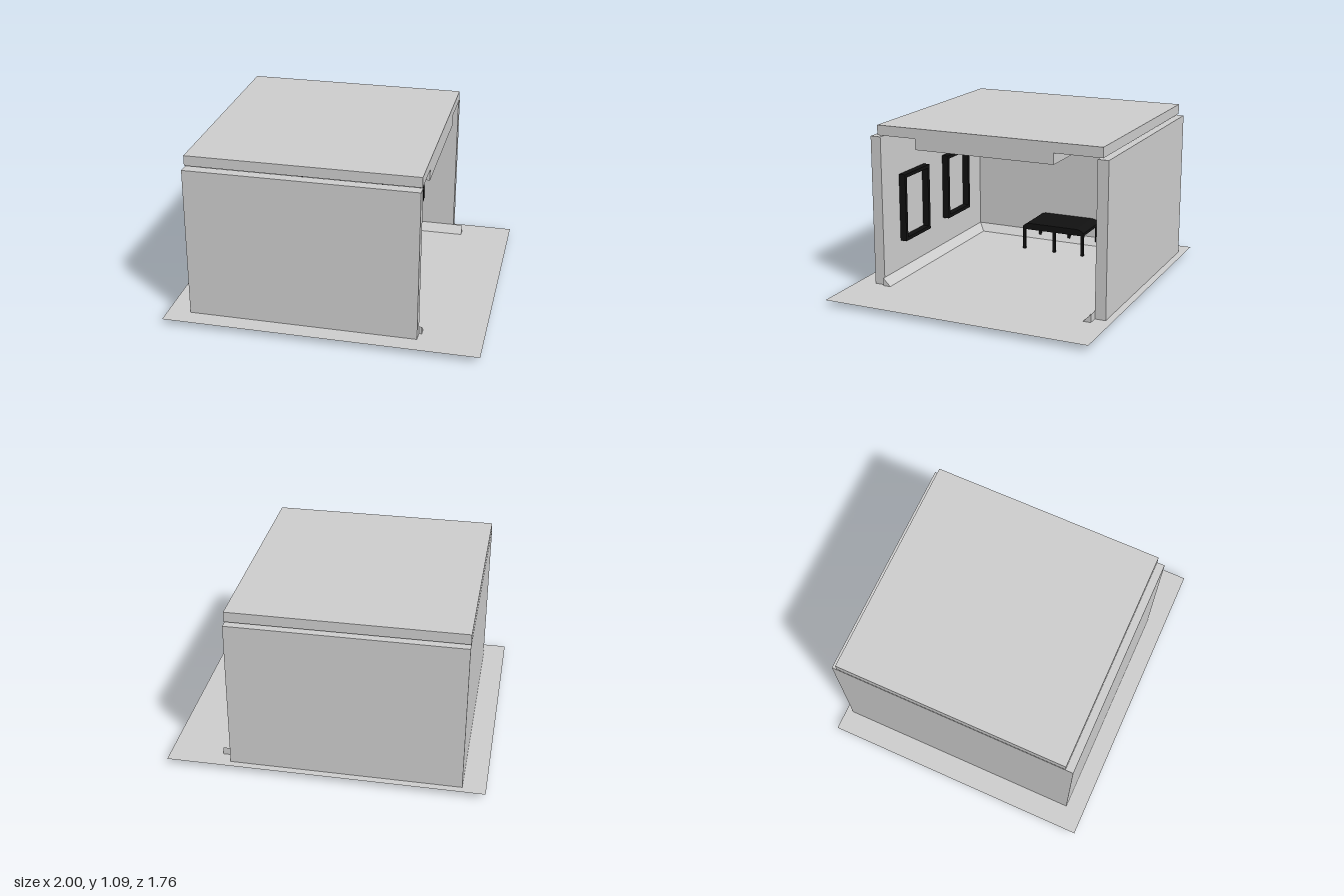
import * as THREE from 'three';

export function createModel() {
  const model = new THREE.Group();
  const grey = new THREE.MeshStandardMaterial({ color: 0xcccccc });
  grey.name = 'plain grey';
  const floorGrey = new THREE.MeshStandardMaterial({ color: 0xcccccc, side: THREE.DoubleSide });
  floorGrey.name = 'floor grey';
  const black = new THREE.MeshStandardMaterial({ color: 0x111111 });
  black.name = 'black';

  const add = (name, geometry, material, parent = model) => {
    const mesh = new THREE.Mesh(geometry, material);
    mesh.name = name;
    parent.add(mesh);
    return mesh;
  };
  // Box given by its extents on each axis
  const box = (name, [x0, x1], [y0, y1], [z0, z1], material = grey, parent = model) => {
    const mesh = add(name, new THREE.BoxGeometry(x1 - x0, y1 - y0, z1 - z0), material, parent);
    mesh.position.set((x0 + x1) / 2, (y0 + y1) / 2, (z0 + z1) / 2);
    return mesh;
  };

  const floorY = 0.035;
  const hallX = [-0.855, 0.6];

  // Ground sheet
  const floor = add('floor', new THREE.PlaneGeometry(2, 1.76), floorGrey);
  floor.rotation.x = -Math.PI / 2;
  floor.position.y = floorY;

  // Three walls, open towards +x
  box('frontWall', hallX, [0.02, 1.015], [0.69, 0.76]);
  box('backWall', hallX, [0, 1.015], [-0.835, -0.765]);
  box('endWall', [-0.855, -0.785], [0.025, 1.015], [-0.765, 0.69]);

  // Roof slab with a lowered ceiling panel
  box('roof', hallX, [1.025, 1.09], [-0.8, 0.71]);
  box('ceilingPanel', [-0.56, 0.6], [0.955, 1.025], [-0.49, 0.44]);

  // Triangular skirting: the profile's upright side lies against the wall
  const skirting = (name, length) => {
    const profile = new THREE.Shape([[0, 0], [0.05, 0], [0, 0.05]].map(p => new THREE.Vector2(...p)));
    return add(name, new THREE.ExtrudeGeometry(profile, { depth: length, bevelEnabled: false }), grey);
  };
  const backSkirting = skirting('backSkirting', 1.45);
  backSkirting.rotation.y = -Math.PI / 2;
  backSkirting.position.set(0.665, floorY, -0.765);
  const frontSkirting = skirting('frontSkirting', 1.403);
  frontSkirting.rotation.y = Math.PI / 2;
  frontSkirting.position.set(-0.785, floorY, 0.69);
  skirting('endSkirting', 1.455).position.set(-0.785, floorY, -0.765);

  // Window frames: two on each long wall
  const rect = (path, x0, y0, x1, y1) =>
    path.moveTo(x0, y0).lineTo(x1, y0).lineTo(x1, y1).lineTo(x0, y1).closePath();
  const frameShape = rect(new THREE.Shape(), -0.163, 0.275, 0.163, 0.725);
  frameShape.holes.push(rect(new THREE.Path(), -0.14, 0.298, 0.14, 0.702));
  const frameGeometry = new THREE.ExtrudeGeometry(frameShape, { depth: 0.045, bevelEnabled: false });
  for (const x of [-0.365, 0.223]) {
    add('backWindowFrame', frameGeometry, black).position.set(x, 0, -0.74);
    add('frontWindowFrame', frameGeometry, black).position.set(x, 0, 0.645);
  }

  // Bench by the end wall: round-shouldered top on three pairs of legs
  const bench = new THREE.Group();
  bench.name = 'bench';
  model.add(bench);
  const top = new THREE.Shape();
  top.moveTo(-0.2, 0.18).lineTo(0.26, 0.18).lineTo(0.26, 0.2)
    .quadraticCurveTo(0.24, 0.225, 0.2, 0.225).lineTo(-0.14, 0.225)
    .quadraticCurveTo(-0.18, 0.225, -0.2, 0.2).closePath();
  const seat = add('benchTop', new THREE.ExtrudeGeometry(top, { depth: 0.3, bevelEnabled: false }), black, bench);
  seat.rotation.y = Math.PI / 2;
  seat.position.x = -0.78;
  for (const z of [-0.25, -0.038, 0.19]) {
    for (const x of [-0.77, -0.49]) {
      box('benchLeg', [x - 0.01, x + 0.01], [floorY, 0.18], [z - 0.01, z + 0.01], black, bench);
    }
  }
  return model;
}
